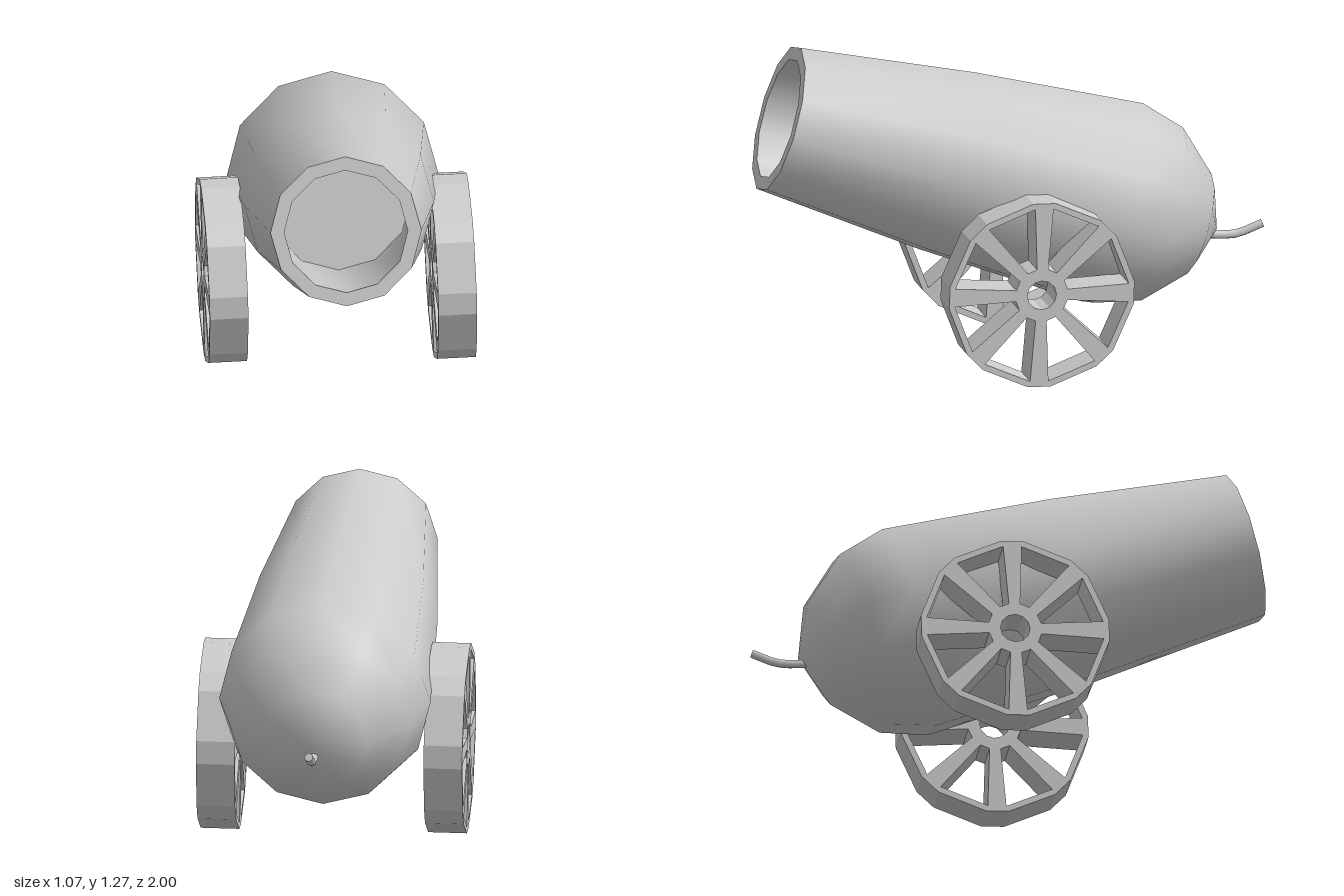
import * as THREE from 'three';
import { toCreasedNormals } from 'three/addons/utils/BufferGeometryUtils.js';

const material = new THREE.MeshStandardMaterial({ color: 0xcccccc });
const ELEVATION = THREE.MathUtils.degToRad(17.5);

const polar = (radius, degrees) => {
  const a = THREE.MathUtils.degToRad(degrees);
  return new THREE.Vector2(radius * Math.cos(a), radius * Math.sin(a));
};

function addMesh(parent, name, geometry) {
  const mesh = new THREE.Mesh(geometry, material);
  mesh.name = name;
  parent.add(mesh);
  return mesh;
}

// Hollow barrel: breech tip, outer wall, muzzle rim, then back down the bore
function barrelGeometry() {
  const profile = [
    [0, -1.814], [0.205, -1.728], [0.357, -1.562], [0.412, -1.378], [0.368, -0.697],
    [0.293, 0], [0.24, 0], [0.285, -0.85], [0, -0.85],
  ].map(([r, y]) => new THREE.Vector2(r, y));
  return toCreasedNormals(new THREE.LatheGeometry(profile, 12), 0.9);
}

// Wheel with eight flared spokes, cut from one slab, axle along x
function wheelGeometry() {
  const spokes = 8, step = 360 / spokes, turn = -2, depth = 0.15;
  const outline = [];
  const windows = [];
  for (let i = 0; i < spokes; i++) {
    const a = i * step + turn;
    outline.push(polar(0.37, a - 7), polar(0.37, a + 7));
    windows.push(new THREE.Path([
      polar(0.105, a + 12), polar(0.105, a + step - 12),
      polar(0.347, a + step - 6), polar(0.347, a + 6),
    ]));
  }
  const shape = new THREE.Shape(outline);
  const axleHole = new THREE.Path();
  axleHole.absarc(0, 0, 0.058, 0, Math.PI * 2, true);
  shape.holes.push(...windows, axleHole);
  const geometry = new THREE.ExtrudeGeometry(shape, { depth, bevelEnabled: false, curveSegments: 6 });
  return geometry.translate(0, 0, -depth / 2).rotateY(Math.PI / 2);
}

export function createModel() {
  const model = new THREE.Group();
  model.name = 'cannon';

  const barrel = addMesh(model, 'barrel', barrelGeometry());
  barrel.position.set(0, 0.99, 0.915);
  barrel.rotation.x = Math.PI / 2 - ELEVATION;

  // Slightly skewed wheels on either side
  const wheel = wheelGeometry();
  for (const [name, x] of [['leftWheel', 0.442], ['rightWheel', -0.445]]) {
    const mesh = addMesh(model, name, wheel);
    mesh.position.set(x, 0.37, -0.02);
    mesh.rotation.set(0, 0.038, 0.018);
  }

  // Bent fuse at the breech, closed by a small cap
  const fuse = new THREE.Group();
  fuse.name = 'fuse';
  const path = new THREE.CatmullRomCurve3([
    new THREE.Vector3(0, 0.425, -0.77),
    new THREE.Vector3(-0.003, 0.42, -0.89),
    new THREE.Vector3(-0.003, 0.457, -0.995),
  ]);
  addMesh(fuse, 'fuseCord', new THREE.TubeGeometry(path, 6, 0.017, 8));
  const cap = addMesh(fuse, 'fuseEnd', new THREE.CircleGeometry(0.017, 8));
  cap.position.copy(path.getPoint(1));
  cap.lookAt(path.getPoint(1).add(path.getTangent(1)));
  model.add(fuse);

  return model;
}
